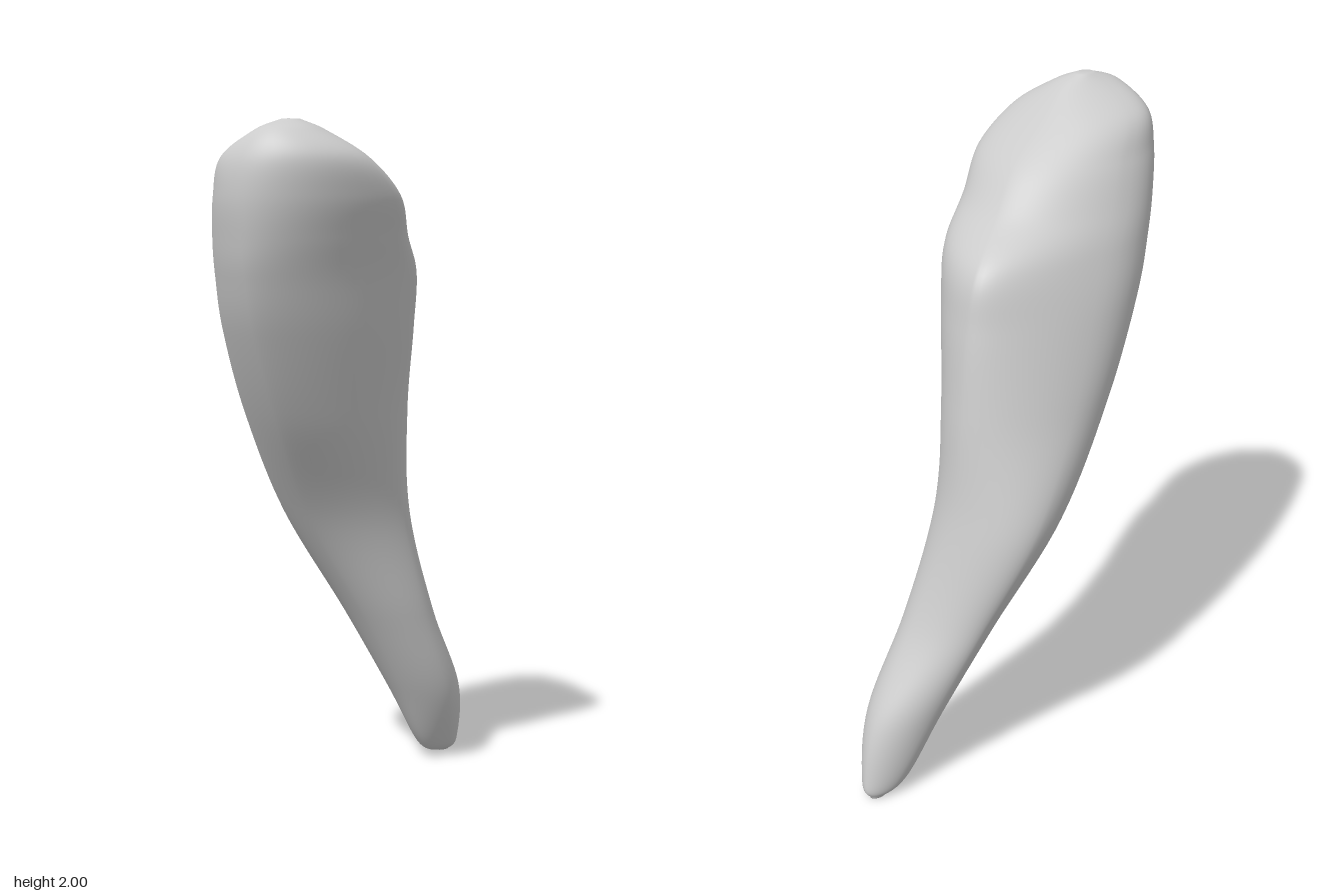
import * as THREE from 'three';

// Cross-sections from tip to crown:
// height, left x, right x, mean z of the sides, skew of the sides, front x, front z, back x, back z
const SECTIONS = [
  [0.00, -0.085, -0.045, -0.535, 0, -0.065, -0.505, -0.07, -0.562],
  [0.05, -0.112, 0.005, -0.49, 0, -0.045, -0.405, -0.06, -0.577],
  [0.25, -0.153, 0.072, -0.39, 0, -0.04, -0.28, -0.05, -0.53],
  [0.52, -0.222, 0.074, -0.26, 0, -0.06, -0.118, -0.045, -0.378],
  [0.85, -0.313, 0.075, -0.125, 0.01, -0.10, 0.095, -0.10, -0.277],
  [1.17, -0.288, 0.143, 0.035, 0.02, -0.02, 0.323, -0.10, -0.238],
  [1.42, -0.246, 0.21, 0.12, 0.04, 0.03, 0.467, -0.09, -0.203],
  [1.58, -0.202, 0.25, 0.17, 0.06, 0.06, 0.533, -0.08, -0.158],
  [1.69, -0.16, 0.283, 0.23, 0.07, 0.075, 0.562, 0.00, -0.02],
  [1.80, -0.115, 0.314, 0.285, 0.07, 0.08, 0.578, 0.06, 0.09],
  [1.90, -0.06, 0.298, 0.375, 0.05, 0.09, 0.568, 0.10, 0.23],
  [1.97, 0.06, 0.212, 0.425, 0.02, 0.115, 0.52, 0.13, 0.33],
  [2.00, 0.105, 0.145, 0.415, 0, 0.125, 0.44, 0.125, 0.39],
];
const ROWS = 108;
const SEGMENTS = 56;

// One smooth rail up each side of the body
function makeRail(xColumn, zOf) {
  const points = SECTIONS.map((s) => new THREE.Vector3(s[xColumn], s[0], zOf(s)));
  return new THREE.CatmullRomCurve3(points, false, 'catmullrom', 0.5);
}

function buildBody() {
  const left = makeRail(1, (s) => s[3] + s[4]);
  const right = makeRail(2, (s) => s[3] - s[4]);
  const front = makeRail(5, (s) => s[6]);
  const back = makeRail(7, (s) => s[8]);
  const positions = [];
  const indices = [];

  // Each section is made of four rounded quarters between the rails
  for (let r = 0; r <= ROWS; r++) {
    const t = r / ROWS;
    const l = left.getPoint(t), g = right.getPoint(t), f = front.getPoint(t), b = back.getPoint(t);
    for (let i = 0; i < SEGMENTS; i++) {
      const angle = (i / SEGMENTS) * Math.PI * 2;
      const c = Math.cos(angle), s = Math.sin(angle);
      const side = c >= 0 ? g : l;
      const end = s >= 0 ? f : b;
      // Two opposite quarters grow squarer towards the crown
      const power = c * s < 0 ? 1.08 - 0.34 * t * t : 1.1;
      positions.push(
        end.x + (side.x - end.x) * Math.abs(c) ** power,
        l.y,
        side.z + (end.z - side.z) * Math.abs(s) ** power);
    }
  }

  // Skin between neighbouring sections, with a closed tip and crown
  const tip = positions.length / 3, crown = tip + 1, top = ROWS * SEGMENTS;
  positions.push(-0.065, 0, -0.535, 0.125, 2, 0.415);
  for (let i = 0; i < SEGMENTS; i++) {
    const j = (i + 1) % SEGMENTS;
    for (let a = 0; a < top; a += SEGMENTS) {
      const up = a + SEGMENTS;
      indices.push(a + i, up + i, a + j, a + j, up + i, up + j);
    }
    indices.push(tip, i, j, crown, top + j, top + i);
  }

  const geometry = new THREE.BufferGeometry();
  geometry.setAttribute('position', new THREE.Float32BufferAttribute(positions, 3));
  geometry.setIndex(indices);
  geometry.computeVertexNormals();
  return geometry;
}

export function createModel() {
  const model = new THREE.Group();
  model.name = 'curvedTaperedForm';
  const body = new THREE.Mesh(buildBody(), new THREE.MeshStandardMaterial({ color: 0xcccccc }));
  body.name = 'body';
  model.add(body);
  return model;
}
